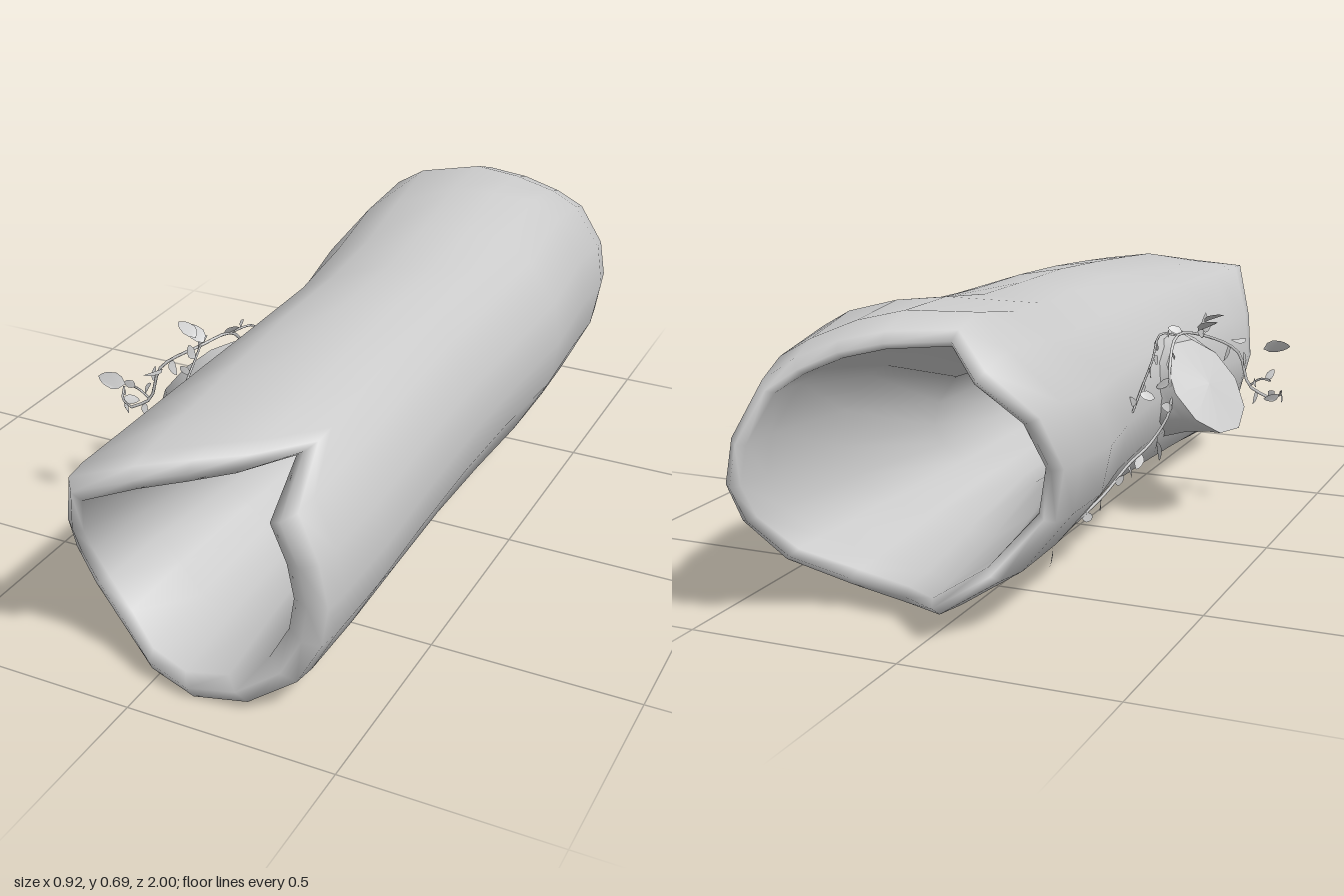
import * as THREE from 'three';

const V = (x, y, z) => new THREE.Vector3(x, y, z);
const grey = new THREE.MeshStandardMaterial({ color: 0xcccccc, side: THREE.DoubleSide });

// Skin a list of equal, closed rings; closeRows also joins the last ring to the first
function loft(rings, closeRows = false) {
  const n = rings[0].length, m = rings.length, index = [];
  for (let r = 0; r < (closeRows ? m : m - 1); r++) {
    for (let c = 0; c < n; c++) {
      const a = r * n + c, b = r * n + (c + 1) % n;
      const d = ((r + 1) % m) * n + c, e = ((r + 1) % m) * n + (c + 1) % n;
      index.push(a, d, b, b, d, e);
    }
  }
  const g = new THREE.BufferGeometry().setFromPoints(rings.flat());
  g.setIndex(index);
  g.computeVertexNormals();
  return g;
}

function add(parent, name, geometry) {
  const mesh = new THREE.Mesh(geometry, grey);
  mesh.name = name;
  parent.add(mesh);
  return mesh;
}

// Trunk stations: z, min x, max x, min y, max y
const stations = [
  [1.0, -0.19, 0.41, -0.005, 0.575], [0.87, -0.195, 0.418, 0.0, 0.58],
  [0.6, -0.2, 0.435, 0.025, 0.605], [0.2, -0.2, 0.43, 0.045, 0.64],
  [-0.15, -0.2, 0.44, 0.05, 0.645], [-0.4, -0.26, 0.46, 0.045, 0.66],
  [-0.68, -0.262, 0.445, 0.028, 0.71], [-0.88, -0.235, 0.43, 0.035, 0.655],
  [-1.0, -0.19, 0.41, 0.07, 0.6],
];

// Trunk columns: angle, front rim z, back rim z, swell at the front rim, swell of the body
const columns = [
  [0, 0.87, -1.0, 1, 1], [21, 0.87, -0.99, 1, 1.02], [44, 0.87, -0.94, 1.08, 1.07],
  [57, 0.66, -0.91, 1.02, 1.03], [73, 0.8, -0.88, 1, 1], [90, 0.88, -0.85, 1, 1],
  [112, 0.93, -0.77, 1.02, 1], [131, 1.0, -0.83, 1.18, 1], [157, 0.95, -0.77, 1, 1],
  [180, 0.89, -0.72, 1, 1], [202, 0.86, -0.71, 1, 1], [225, 0.86, -0.81, 1, 1],
  [247, 0.9, -0.88, 1, 1], [270, 0.92, -0.78, 1, 1], [295, 0.91, -0.77, 1.02, 1.03],
  [318, 0.88, -0.85, 1.04, 1.07], [340, 0.87, -0.95, 1.01, 1.02],
];

// Point on the trunk at an angle and z, scaled about the section centre
function trunkPoint(deg, z, scale = 1) {
  let i = 0;
  while (i < stations.length - 2 && z < stations[i + 1][0]) i++;
  const p = stations[i], q = stations[i + 1];
  const t = THREE.MathUtils.clamp((z - p[0]) / (q[0] - p[0]), 0, 1);
  const [x0, x1, y0, y1] = [1, 2, 3, 4].map((k) => THREE.MathUtils.lerp(p[k], q[k], t));
  const a = THREE.MathUtils.degToRad(deg);
  return V((x0 + x1) / 2 + Math.cos(a) * (x1 - x0) / 2 * scale,
    (y0 + y1) / 2 + Math.sin(a) * (y1 - y0) / 2 * scale, z);
}

function trunkGeometry() {
  // Rows: position from front to back rim, radius scale, x and y shift; outside, then back through the hollow
  const rows = [
    [0.008, 0.98, 0, 0], [0.04, 1, 0, 0], [0.14, 1, 0, 0], [0.28, 1, 0, 0], [0.42, 1, 0, 0], [0.56, 1, 0, 0],
    [0.7, 1, 0, 0], [0.83, 1, 0, 0], [0.94, 1, 0, 0], [0.99, 0.98, 0, 0], [1, 0.92, 0, 0],
    [0.99, 0.86, 0, 0], [0.94, 0.81, 0, -0.01], [0.8, 0.68, 0, -0.03], [0.6, 0.52, 0, -0.05],
    [0.45, 0.49, 0, -0.045], [0.28, 0.6, -0.01, -0.03], [0.12, 0.71, -0.02, -0.01],
    [0.01, 0.78, -0.02, 0], [0, 0.88, -0.01, 0],
  ];
  return loft(rows.map(([t, s, dx, dy]) => columns.map(([deg, zF, zB, front, body]) => {
    const swell = THREE.MathUtils.lerp(front, body, Math.min(1, t / 0.45));
    return trunkPoint(deg, THREE.MathUtils.lerp(zF, zB, t), s * swell).add(V(dx, dy, 0));
  })), true);
}

// Broken branch: oval rings ending in a slanted cut that faces up and back
function addBranch(parent) {
  const ring = (c, u, v) => Array.from({ length: 10 }, (_, i) => {
    const a = i / 10 * Math.PI * 2;
    return c.clone().addScaledVector(u, Math.cos(a)).addScaledVector(v, Math.sin(a));
  });
  const end = ring(V(-0.285, 0.362, 0.155), V(0.045, 0, -0.11), V(0.075, 0.112, 0.02));
  add(parent, 'branchStub', loft([
    ring(V(-0.11, 0.35, 0.27), V(0.01, 0, -0.24), V(0.03, 0.16, 0)),
    ring(V(-0.185, 0.355, 0.24), V(0.02, 0, -0.185), V(0.05, 0.132, 0.01)),
    ring(V(-0.24, 0.36, 0.195), V(0.035, 0, -0.14), V(0.07, 0.118, 0.02)), end,
  ]));
  add(parent, 'branchEnd', loft([end, end.map(() => V(-0.295, 0.37, 0.15))]));
}

// Pointed oval leaf, slightly folded along its midrib
function leafGeometry() {
  const s = new THREE.Shape();
  s.moveTo(0, 0);
  s.quadraticCurveTo(0.75, 0.4, 0.42, 1.2);
  s.quadraticCurveTo(0.3, 1.6, 0, 1.8);
  s.quadraticCurveTo(-0.3, 1.6, -0.42, 1.2);
  s.quadraticCurveTo(-0.75, 0.4, 0, 0);
  const g = new THREE.ShapeGeometry(s, 3), p = g.attributes.position;
  for (let i = 0; i < p.count; i++) p.setZ(i, Math.abs(p.getX(i)) * 0.35);
  g.computeVertexNormals();
  return g;
}

function addVine(parent) {
  const vine = new THREE.Group();
  vine.name = 'climbingVine';
  parent.add(vine);
  let seed = 7;
  const rnd = () => (seed = (seed * 16807) % 2147483647) / 2147483647;
  const leaf = leafGeometry();
  const addLeaf = (pos, size, rx, ry, rz) => {
    const m = add(vine, 'leaf', leaf);
    m.position.copy(pos);
    m.scale.setScalar(size);
    m.rotation.set(rx, ry, rz);
  };
  // Stems: path points, radius and leaf count
  const stems = [
    [[trunkPoint(237, -0.42, 1.01), trunkPoint(218, -0.25, 1.01), trunkPoint(207, -0.1, 1.02),
      trunkPoint(200, 0.01, 1.03), V(-0.225, 0.32, 0.05), V(-0.215, 0.42, 0.07), V(-0.21, 0.49, 0.14),
      V(-0.25, 0.48, 0.22), V(-0.33, 0.43, 0.28), V(-0.36, 0.34, 0.29), V(-0.41, 0.31, 0.3)], 0.004, 15],
    [[V(-0.21, 0.49, 0.14), V(-0.18, 0.5, 0.1), trunkPoint(160, 0.02, 1.02),
      trunkPoint(168, -0.08, 1.02), trunkPoint(176, -0.2, 1.02)], 0.003, 7],
    [[V(-0.36, 0.34, 0.29), V(-0.39, 0.36, 0.29), V(-0.42, 0.36, 0.28)], 0.003, 2],
    [[V(-0.41, 0.31, 0.3), V(-0.44, 0.32, 0.29), V(-0.455, 0.34, 0.26)], 0.003, 3],
    [[V(-0.25, 0.48, 0.22), V(-0.22, 0.48, 0.3), V(-0.21, 0.45, 0.36)], 0.003, 3],
  ];
  for (const [points, radius, leaves] of stems) {
    const curve = new THREE.CatmullRomCurve3(points);
    add(vine, 'stem', new THREE.TubeGeometry(curve, points.length * 4, radius, 5));
    for (let i = 0; i < leaves; i++) {
      addLeaf(curve.getPointAt((i + 0.5) / leaves), 0.016 + rnd() * 0.01,
        rnd() * 2 - 1, -Math.PI / 2 + (rnd() - 0.5) * 2, rnd() * 6);
    }
  }
  // Larger leaves: on top of the branch, then low on the trunk
  addLeaf(V(-0.37, 0.42, 0.38), 0.04, -0.5, 0.2, 1.5);
  addLeaf(V(-0.24, 0.49, 0.22), 0.038, -1.1, 0.3, 1.1);
  addLeaf(V(-0.25, 0.51, 0.24), 0.036, -1.2, 0.3, 1.2);
  addLeaf(V(-0.3, 0.45, 0.32), 0.03, 1.5, 0.2, 0.5);
  addLeaf(V(-0.2, 0.24, 0.02), 0.028, 0, -0.8, 2.8);
  addLeaf(trunkPoint(237, -0.42, 1.02), 0.028, 0.3, -1.2, 3);
}

export function createModel() {
  const log = new THREE.Group();
  log.name = 'hollowLog';
  add(log, 'trunk', trunkGeometry());
  addBranch(log);
  addVine(log);
  return log;
}
